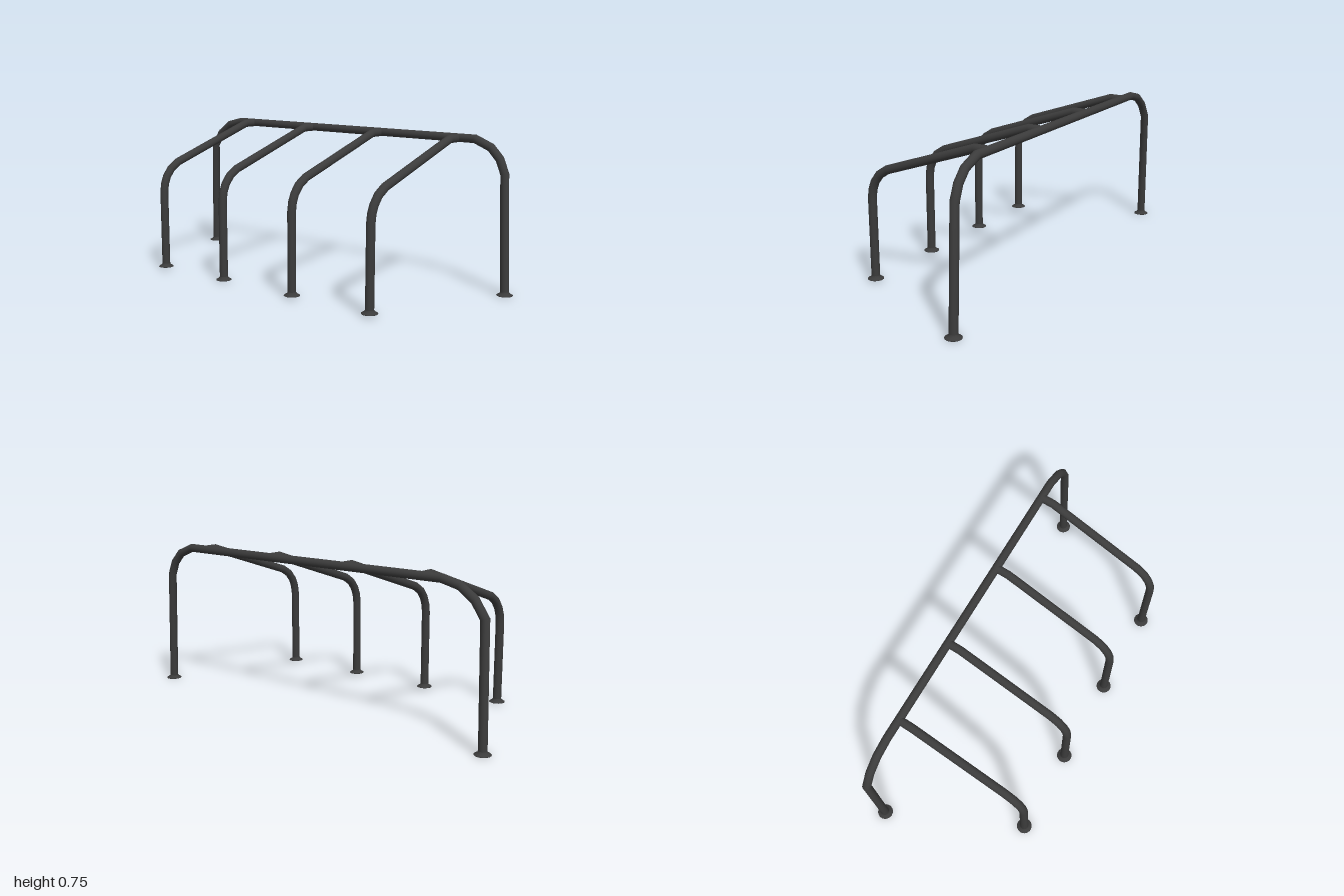
import * as THREE from 'three';

const RADIUS = 0.0205, SIDES = 18;
const material = new THREE.MeshStandardMaterial({ color: 0x3b3b3b, side: THREE.DoubleSide });

// Round pipe along a flat polyline with mitred bends; b is the normal of its plane
function pipe(name, points, b) {
  const positions = [], normals = [], index = [];
  const dirs = points.slice(1).map((p, i) => p.clone().sub(points[i]).normalize());
  points.forEach((p, i) => {
    const before = dirs[Math.max(i - 1, 0)], after = dirs[Math.min(i, dirs.length - 1)];
    const t = before.clone().add(after).normalize();
    const n = b.clone().cross(t), stretch = 1 / t.dot(after);
    for (let j = 0; j <= SIDES; j++) {
      const a = (j / SIDES) * Math.PI * 2, c = Math.cos(a), s = Math.sin(a);
      const v = p.clone().addScaledVector(n, RADIUS * stretch * c).addScaledVector(b, RADIUS * s);
      positions.push(...v.toArray());
      normals.push(...n.clone().multiplyScalar(c).addScaledVector(b, s).toArray());
      if (i < points.length - 1 && j < SIDES) {
        const k = i * (SIDES + 1) + j, up = k + SIDES + 1;
        index.push(k, k + 1, up, k + 1, up + 1, up);
      }
    }
  });
  const g = new THREE.BufferGeometry();
  g.setAttribute('position', new THREE.Float32BufferAttribute(positions, 3));
  g.setAttribute('normal', new THREE.Float32BufferAttribute(normals, 3));
  g.setIndex(index);
  const mesh = new THREE.Mesh(g, material);
  mesh.name = name;
  return mesh;
}

// Flared foot with a closed underside
const footProfile = [[0, 0], [0.0385, 0], [0.0385, 0.002], [0.028, 0.008], [0.022, 0.013], [0.02, 0.02]]
  .map(([r, y]) => new THREE.Vector2(r, y));
const footGeometry = new THREE.LatheGeometry(footProfile, SIDES);

function foot(name, x, y, z) {
  const mesh = new THREE.Mesh(footGeometry, material);
  mesh.name = name;
  mesh.position.set(x, y, z);
  return mesh;
}

export function createModel() {
  const group = new THREE.Group();
  group.name = 'tubeFrame';
  const railZ = -0.333, frontZ = 0.333;

  // Long rear hoop: two legs and the top rail in one bent pipe
  const hoop = [
    [-0.962, 0.002], [-0.952, 0.583], [-0.902, 0.658], [-0.83, 0.71], [-0.742, 0.732],
    [0.777, 0.732], [0.862, 0.697], [0.91, 0.645], [0.937, 0.578], [0.961, 0.002],
  ].map(([x, y]) => new THREE.Vector3(x, y, railZ));
  group.add(pipe('rearHoop', hoop, new THREE.Vector3(0, 0, 1)));
  group.add(foot('rearFootRight', -0.9615, 0, railZ), foot('rearFootLeft', 0.9615, 0, railZ));

  // Four slanted ribs from front feet up to the rail, slightly skewed sideways
  const skew = 0.05;
  const profile = [
    [frontZ, 0.012], [frontZ, 0.41], [0.327, 0.453], [0.312, 0.491], [0.282, 0.53],
    [0.235, 0.56], [-0.262, 0.7305], [-0.328, 0.7305],
  ];
  const ribNormal = new THREE.Vector3(1, 0, skew).normalize();
  [-0.672, -0.243, 0.204, 0.651].forEach((x, i) => {
    const path = profile.map(([z, y]) => new THREE.Vector3(x + (frontZ - z) * skew, y, z));
    group.add(pipe(`rib${i + 1}`, path, ribNormal));
    group.add(foot(`ribFoot${i + 1}`, x, 0.009, frontZ));
  });

  return group;
}
